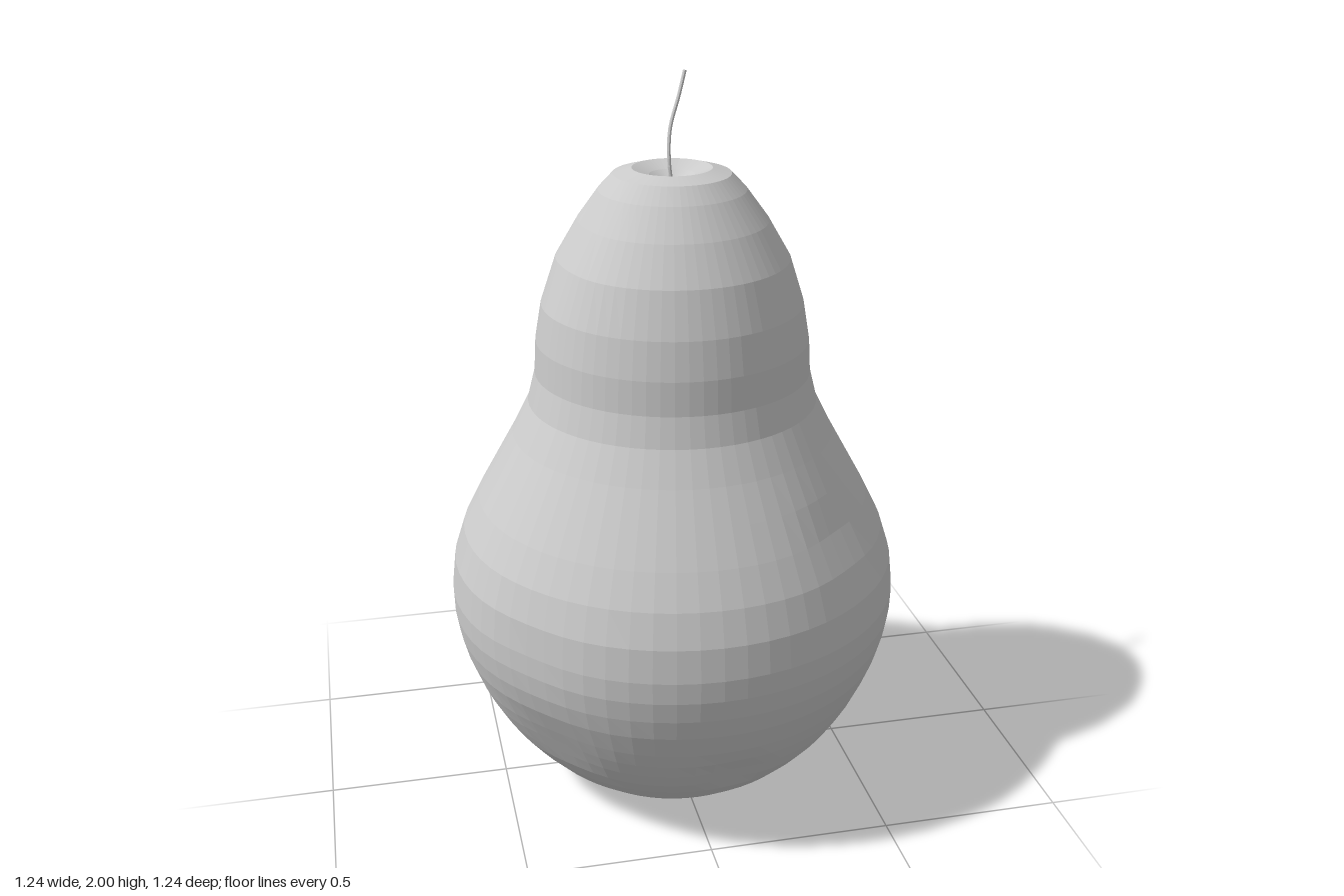
import * as THREE from 'three';

const SEGMENTS = 64;

// radius, height: base hollow, belly, neck, rim, top hollow
const PROFILE = [
  [0.001, 0.016], [0.12, 0.012], [0.2, 0.004], [0.225, 0], [0.25, 0.008], [0.325, 0.05],
  [0.39, 0.1], [0.44, 0.15], [0.482, 0.2], [0.515, 0.25], [0.543, 0.3], [0.566, 0.35],
  [0.593, 0.42], [0.609, 0.48], [0.619, 0.54], [0.621, 0.6], [0.611, 0.69], [0.582, 0.78],
  [0.537, 0.87], [0.487, 0.96], [0.437, 1.05], [0.392, 1.14], [0.372, 1.22], [0.367, 1.31],
  [0.35, 1.41], [0.312, 1.53], [0.254, 1.63], [0.195, 1.71], [0.155, 1.752],
  [0.105, 1.766], [0.06, 1.748], [0.03, 1.73], [0.001, 1.72],
];

// x, y, z, size, depth of the shallow bruises
const DENTS = [
  [0.4, 0.9, -0.32, 0.15, 0.025],
  [0.31, 0.65, -0.51, 0.2, 0.035],
  [-0.42, 0.28, 0.38, 0.16, 0.025],
  [-0.47, 0.6, 0.4, 0.14, 0.012],
  [0.06, 0.23, 0.5, 0.08, 0.018],
  [0.36, 0.85, 0.4, 0.12, 0.015],
  [-0.5, 0.32, -0.24, 0.12, 0.018],
  [0.24, 0.13, -0.34, 0.12, 0.018],
  [0.52, 0.25, 0.08, 0.13, 0.018],
  [-0.27, 1.58, 0.06, 0.12, 0.014],
];

function createFruit(material) {
  const points = PROFILE.map(([r, y]) => new THREE.Vector2(r, y));
  const geometry = new THREE.LatheGeometry(points, SEGMENTS);
  const pos = geometry.attributes.position;
  const p = new THREE.Vector3();
  const centre = new THREE.Vector3();

  // Press each bruise towards the core
  for (let i = 0; i < pos.count; i++) {
    p.fromBufferAttribute(pos, i);
    const radius = Math.hypot(p.x, p.z);
    if (radius < 0.18) continue;
    let push = 0;
    for (const [x, y, z, size, depth] of DENTS) {
      const d = p.distanceTo(centre.set(x, y, z)) / size;
      push += depth * Math.exp(-d * d);
    }
    const k = 1 - push / radius;
    pos.setXYZ(i, p.x * k, p.y, p.z * k);
  }
  geometry.computeVertexNormals();
  const fruit = new THREE.Mesh(geometry, material);
  fruit.name = 'fruit';
  return fruit;
}

function createStem(material) {
  const stem = new THREE.Group();
  stem.name = 'stem';
  const curve = new THREE.CatmullRomCurve3([
    new THREE.Vector3(0, 1.71, 0.005),
    new THREE.Vector3(-0.008, 1.78, 0),
    new THREE.Vector3(0, 1.86, -0.025),
    new THREE.Vector3(0.03, 1.94, -0.055),
    new THREE.Vector3(0.05, 1.998, -0.077),
  ]);
  const stalk = new THREE.Mesh(new THREE.TubeGeometry(curve, 16, 0.005, 8), material);
  stalk.name = 'stalk';

  // Cut end of the stalk
  const tip = new THREE.Mesh(new THREE.CircleGeometry(0.005, 8), material);
  tip.name = 'stalkTip';
  tip.position.copy(curve.getPoint(1));
  tip.quaternion.setFromUnitVectors(new THREE.Vector3(0, 0, 1), curve.getTangent(1));
  stem.add(stalk, tip);
  return stem;
}

export function createModel() {
  const material = new THREE.MeshStandardMaterial({ color: 0xcccccc, flatShading: true });
  const pear = new THREE.Group();
  pear.name = 'pear';
  pear.add(createFruit(material), createStem(material));
  return pear;
}
